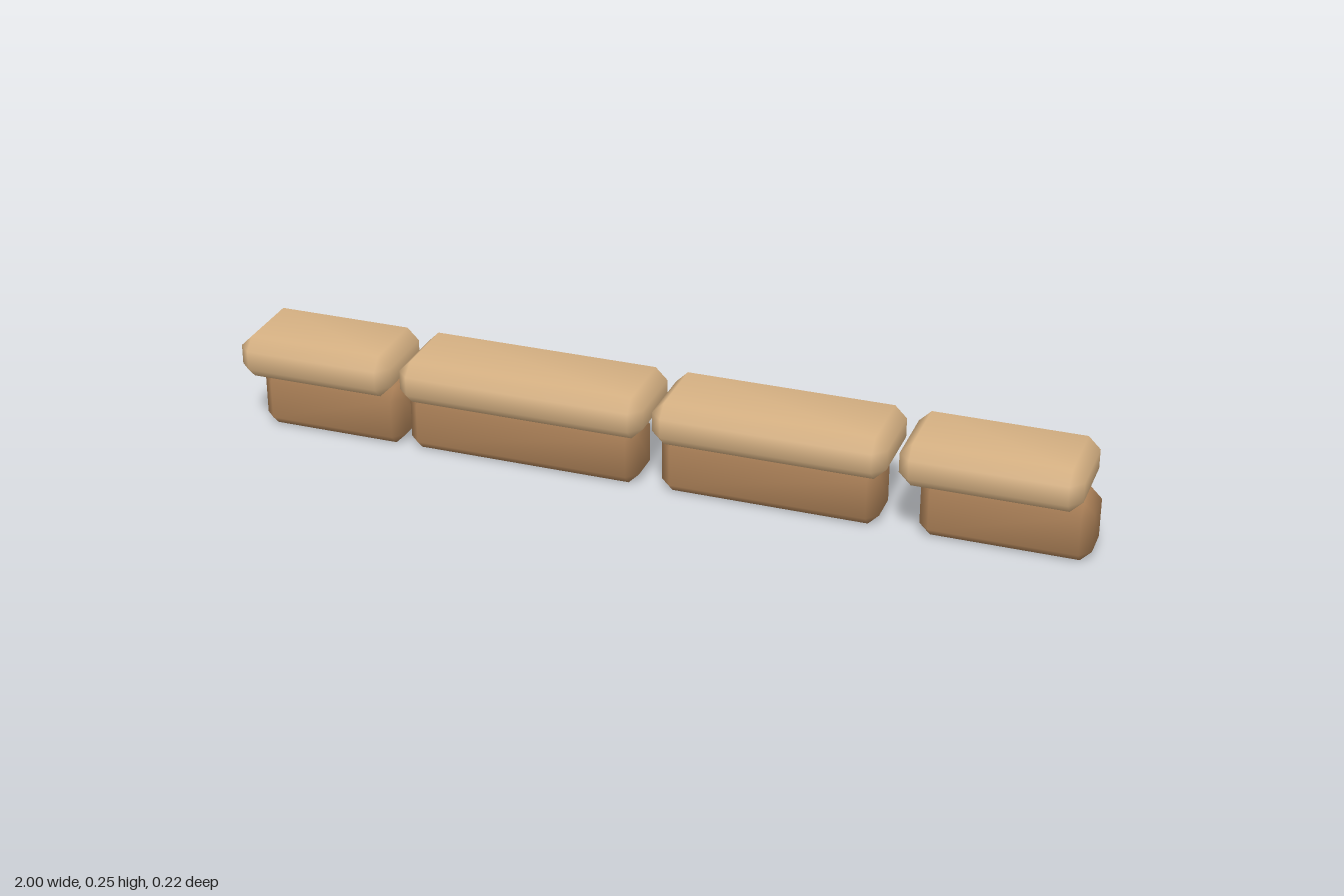
import * as THREE from 'three';
import { mergeVertices } from 'three/addons/utils/BufferGeometryUtils.js';
import { ConvexGeometry } from 'three/addons/geometries/ConvexGeometry.js';

// Block with every edge and corner cut at 45 degrees, shaded smoothly
function chamferedBlock(w, h, d, c) {
  const half = [w / 2, h / 2, d / 2];
  const points = [];
  for (let axis = 0; axis < 3; axis++) {
    for (const sx of [-1, 1]) for (const sy of [-1, 1]) for (const sz of [-1, 1]) {
      const s = [sx, sy, sz];
      points.push(new THREE.Vector3(...half.map((e, i) => s[i] * (i === axis ? e : e - c))));
    }
  }
  const hull = new ConvexGeometry(points);
  hull.deleteAttribute('normal');
  const geometry = mergeVertices(hull, 1e-4);
  geometry.computeVertexNormals();
  return geometry;
}

export function createModel() {
  const group = new THREE.Group();
  const capColour = new THREE.MeshStandardMaterial({ color: 0xd6b183 });
  capColour.name = 'light sandstone';
  const baseColour = new THREE.MeshStandardMaterial({ color: 0xa67c54 });
  baseColour.name = 'brown sandstone';

  // Lays a row of blocks, one for each [x start, x end]
  function addRow(name, spans, [y0, y1], [z0, z1], chamfer, material) {
    spans.forEach(([x0, x1], i) => {
      const mesh = new THREE.Mesh(chamferedBlock(x1 - x0, y1 - y0, z1 - z0, chamfer), material);
      mesh.name = name + (i + 1);
      mesh.position.set((x0 + x1) / 2, (y0 + y1) / 2, (z0 + z1) / 2);
      group.add(mesh);
    });
  }

  // Lower course, set back slightly
  addRow('baseStone', [[-0.98, -0.623], [-0.607, -0.043], [0.013, 0.523], [0.615, 1]],
    [0, 0.143], [-0.087, 0.038], 0.025, baseColour);

  // Wide cap stones floating just above it
  addRow('capStone', [[-1, -0.623], [-0.6, -0.008], [0.013, 0.553], [0.58, 0.985]],
    [0.153, 0.255], [-0.109, 0.109], 0.028, capColour);

  return group;
}
